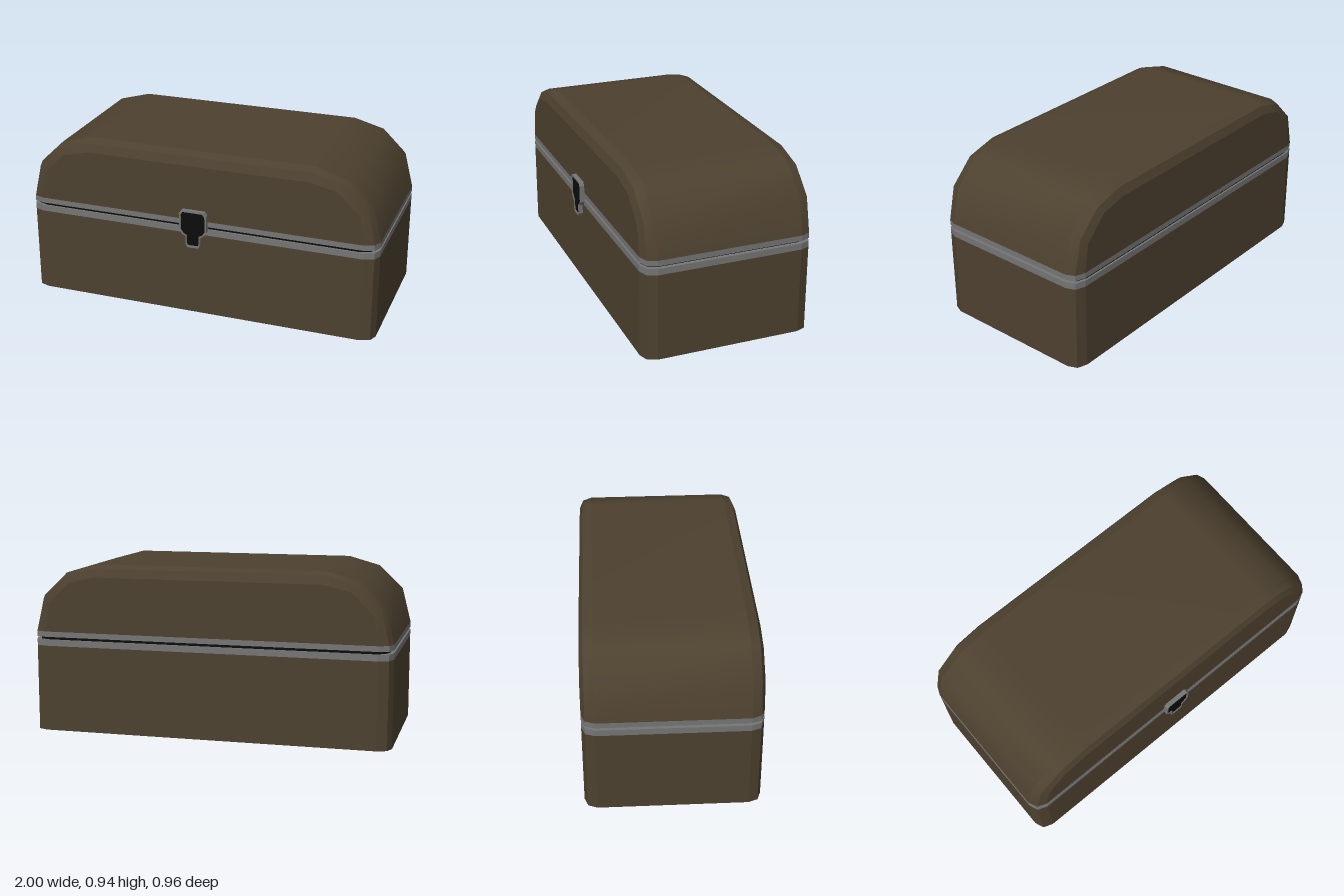
import * as THREE from 'three';

const BROWN = new THREE.MeshStandardMaterial({ color: 0x4d412f, side: THREE.DoubleSide });
const GREY = new THREE.MeshStandardMaterial({ color: 0x757575 });
const BLACK = new THREE.MeshStandardMaterial({ color: 0x0c0c0c });

const CENTRE = -0.0125; // the box sits slightly back to leave room for the latch

const mesh = (name, geometry, material) => {
  const m = new THREE.Mesh(geometry, material);
  m.name = name;
  return m;
};

const shapeOf = (pts) => new THREE.Shape(pts.map(([x, y]) => new THREE.Vector2(x, y)));

// Half outline on +x, mirrored to a full one running from +x to -x
const mirrored = (half) => [...half, ...half.map(([x, y]) => [-x, y]).reverse()];

// Rectangle with bevelled corners, extruded upwards from y0 to y1
function slab(name, y0, y1, scale, material) {
  const corner = [[1, 0.3975], [0.98, 0.4475], [0.925, 0.4675]].map(([x, z]) => [x * scale, z * scale]);
  const front = mirrored(corner);
  const outline = [...front, ...front.map(([x, z]) => [-x, -z])];
  const g = new THREE.ExtrudeGeometry(shapeOf(outline), { depth: y1 - y0, bevelEnabled: false });
  g.rotateX(-Math.PI / 2);
  const m = mesh(name, g, material);
  m.position.set(0, y0, CENTRE);
  return m;
}

// Domed lid: arched sections along z, shrinking at the bevelled ends
function buildLid() {
  const lid = new THREE.Group();
  lid.name = 'lid';
  const outer = [[1, 0.56], [0.95, 0.755], [0.815, 0.885], [0.635, 0.935]];
  const inner = [[0.925, 0.56], [0.9, 0.715], [0.78, 0.835], [0.63, 0.87]];
  const section = (t) => mirrored(outer.map(([x, y], i) => [
    x + (inner[i][0] - x) * t, y + (inner[i][1] - y) * t]));
  const stations = [[-0.4675, 1], [-0.4475, 0.28], [-0.3975, 0], [0.3975, 0], [0.4475, 0.28], [0.4675, 1]];

  // Each strip is smooth along the arch and creased against its neighbours
  for (let s = 0; s < stations.length - 1; s++) {
    const pos = [], index = [];
    const n = outer.length * 2;
    for (const [z, t] of [stations[s], stations[s + 1]])
      for (const [x, y] of section(t)) pos.push(x, y, z);
    for (let i = 0; i < n - 1; i++) index.push(i, i + 1, i + n, i + 1, i + n + 1, i + n);
    const g = new THREE.BufferGeometry();
    g.setAttribute('position', new THREE.Float32BufferAttribute(pos, 3));
    g.setIndex(index);
    g.computeVertexNormals();
    lid.add(mesh(s === 2 ? 'lidDome' : 'lidBevel', g, BROWN));
  }

  // Flat front and back ends
  for (const side of [1, -1]) {
    const end = mesh(side > 0 ? 'lidFront' : 'lidBack', new THREE.ShapeGeometry(shapeOf(section(1))), BROWN);
    end.position.z = side * 0.4675;
    if (side < 0) end.rotation.y = Math.PI;
    lid.add(end);
  }
  lid.position.z = CENTRE;
  return lid;
}

// Latch: grey rim around a dark, slightly sunken plate
function buildLatch() {
  const latch = new THREE.Group();
  latch.name = 'latch';
  const half = [[0.03, -0.12], [0.04, -0.105], [0.04, -0.055], [0.06, -0.045],
    [0.078, -0.02], [0.078, 0.075], [0.065, 0.095]];
  const outline = mirrored(half);
  const inset = outline.map(([x, y]) => [x * 0.88, y * 0.9]);
  const rimShape = shapeOf(outline);
  rimShape.holes.push(shapeOf(inset));
  latch.add(mesh('latchRim', new THREE.ExtrudeGeometry(rimShape, { depth: 0.03, bevelEnabled: false }), GREY));
  latch.add(mesh('latchPlate', new THREE.ExtrudeGeometry(shapeOf(inset), { depth: 0.025, bevelEnabled: false }), BLACK));
  latch.position.set(-0.0125, 0.525, 0.45);
  return latch;
}

export function createModel() {
  const model = new THREE.Group();
  model.name = 'chest';
  model.add(
    slab('base', 0, 0.48, 1, BROWN),
    slab('lowerBand', 0.48, 0.515, 1, GREY),
    slab('seam', 0.515, 0.53, 0.977, BLACK),
    slab('upperBand', 0.53, 0.56, 1, GREY),
    buildLid(),
    buildLatch(),
  );
  return model;
}
